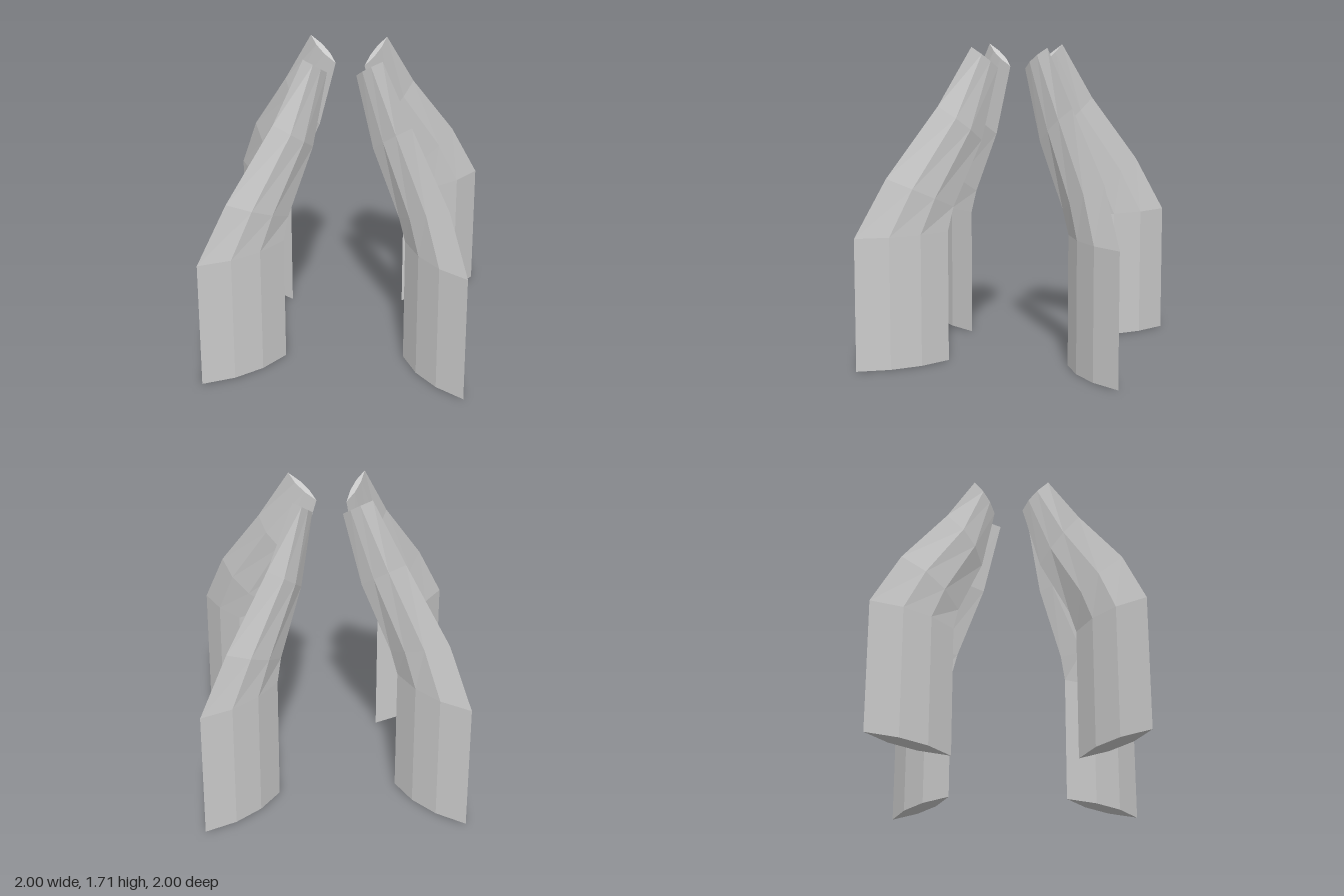
import * as THREE from 'three';

// Cross-sections from floor to tip. Edges are [radius, height, sideways offset];
// half is the half thickness, bow shifts the middle of the blade sideways.
const SECTIONS = [
  { outer: [1.0, 0, 0.073], inner: [0.46, 0, 0.073], half: 0.047, bow: 0 },
  { outer: [1.0, 0.72, 0.073], inner: [0.46, 0.72, 0.073], half: 0.047, bow: 0 },
  { outer: [0.82, 1.03, 0.085], inner: [0.42, 0.85, 0.06], half: 0.044, bow: 0.003 },
  { outer: [0.51, 1.4, 0.065], inner: [0.23, 1.2, 0.02], half: 0.03, bow: 0.012 },
  { outer: [0.295, 1.71, 0.03], inner: [0.115, 1.59, -0.012], half: 0.018, bow: 0 },
];

// Six-sided lens: two sharp edges and two ridges on each broad side
function lensRing({ outer, inner, half, bow }) {
  const a = new THREE.Vector3(outer[0], outer[1], -outer[2]);
  const b = new THREE.Vector3(inner[0], inner[1], -inner[2]);
  const ridge = (t, side) => {
    const p = a.clone().lerp(b, t);
    p.z -= bow + side * half;
    return p;
  };
  return [a, ridge(1 / 3, 1), ridge(2 / 3, 1), b, ridge(2 / 3, -1), ridge(1 / 3, -1)];
}

// Skin the rings and cap both ends
function bladeGeometry() {
  const rings = SECTIONS.map(lensRing);
  const n = rings[0].length;
  const points = rings.flat();
  const index = [];
  for (let s = 0; s < rings.length - 1; s++) {
    for (let i = 0; i < n; i++) {
      const a = s * n + i;
      const b = s * n + ((i + 1) % n);
      index.push(a, b, b + n, a, b + n, a + n);
    }
  }
  const top = (rings.length - 1) * n;
  for (let i = 1; i < n - 1; i++) {
    index.push(0, i + 1, i);
    index.push(top, top + i, top + i + 1);
  }
  const geometry = new THREE.BufferGeometry().setFromPoints(points);
  geometry.setIndex(index);
  const flat = geometry.toNonIndexed();
  flat.computeVertexNormals();
  return flat;
}

export function createModel() {
  const model = new THREE.Group();
  model.name = 'bladeRing';
  const material = new THREE.MeshStandardMaterial({ color: 0xcccccc, flatShading: true });
  const geometry = bladeGeometry();

  // Four identical blades, a quarter turn apart
  ['leftBlade', 'backBlade', 'rightBlade', 'frontBlade'].forEach((name, i) => {
    const blade = new THREE.Mesh(geometry, material);
    blade.name = name;
    blade.rotation.y = (i * Math.PI) / 2;
    model.add(blade);
  });
  return model;
}
